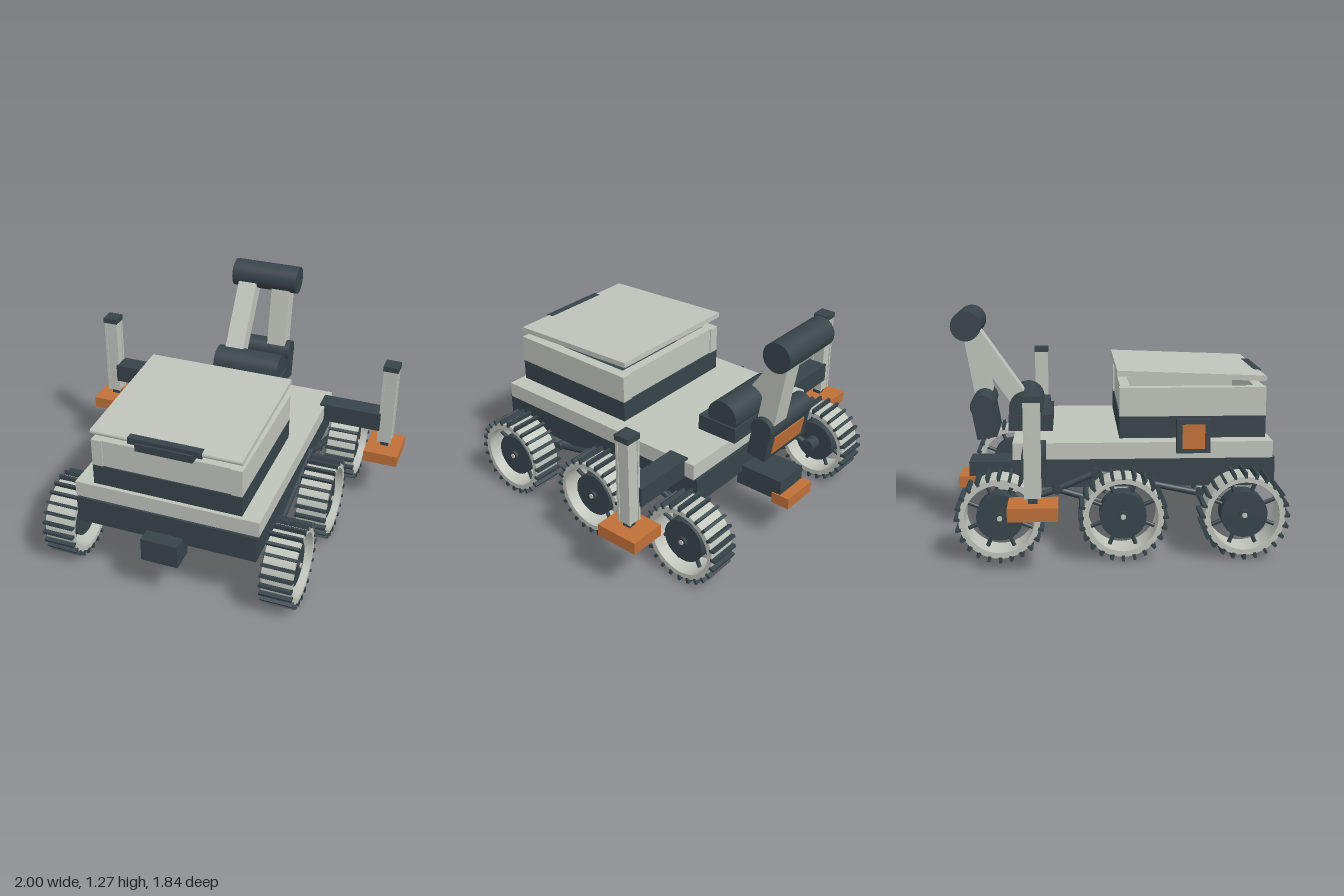
import * as THREE from 'three';

const mat = (name, color) => {
  const m = new THREE.MeshStandardMaterial({ color });
  m.name = name;
  return m;
};

export function createModel() {
  const model = new THREE.Group();
  model.name = 'sixWheeledRover';
  const light = mat('paleGrey', 0xbfc4bb);
  const dark = mat('darkSlate', 0x37444a);
  const orange = mat('copperOrange', 0xc07038);

  const add = (name, geo, material, parent = model) => {
    const m = new THREE.Mesh(geo, material);
    m.name = name;
    parent.add(m);
    return m;
  };
  // box given by its limits on each axis
  const box = (name, material, x0, x1, y0, y1, z0, z1, parent = model) => {
    const m = add(name, new THREE.BoxGeometry(x1 - x0, y1 - y0, z1 - z0), material, parent);
    m.position.set((x0 + x1) / 2, (y0 + y1) / 2, (z0 + z1) / 2);
    return m;
  };
  // cylinder lying along x
  const roller = (name, material, r, x0, x1, y, z, parent = model, sides = 32) => {
    const g = new THREE.CylinderGeometry(r, r, x1 - x0, sides).rotateZ(Math.PI / 2);
    const m = add(name, g, material, parent);
    m.position.set((x0 + x1) / 2, y, z);
    return m;
  };
  // bar between two [y, z] points; round when depth is not given
  const bar = (name, material, x, a, b, width, depth, parent = model) => {
    const from = new THREE.Vector3(x, a[0], a[1]);
    const dir = new THREE.Vector3(x, b[0], b[1]).sub(from);
    const len = dir.length();
    const g = depth ? new THREE.BoxGeometry(width, len, depth)
      : new THREE.CylinderGeometry(width / 2, width / 2, len, 14);
    const m = add(name, g, material, parent);
    m.position.copy(from).addScaledVector(dir, 0.5);
    m.rotation.x = Math.atan2(dir.z, dir.y);
    return m;
  };

  // body
  box('chassis', dark, -0.513, 0.513, 0.355, 0.51, -0.59, 0.837);
  box('deck', light, -0.522, 0.522, 0.51, 0.6, -0.575, 0.823);
  box('frontSensorBox', dark, -0.105, 0.105, 0.258, 0.395, 0.78, 0.92);
  box('rearHitchBox', dark, -0.105, 0.105, 0.27, 0.395, -0.85, -0.56);
  box('rearHitchPad', orange, -0.113, 0.113, 0.247, 0.312, -0.91, -0.8);

  // cargo box with hollow upper tray
  box('cargoBase', dark, -0.42, 0.42, 0.6, 0.72, 0, 0.8);
  for (const s of [-1, 1]) {
    const wall = box('cargoSideWall', light, -0.03, 0.03, 0.72, 0.877, 0, 0.8);
    wall.position.x = s * 0.39;
  }
  box('cargoFrontWall', light, -0.36, 0.36, 0.72, 0.877, 0.74, 0.793);
  box('cargoBackWall', light, -0.36, 0.36, 0.72, 0.877, 0.007, 0.06);

  // tilted lid, with its handle and latch
  bar('lid', light, 0, [0.925, 0.79], [0.957, -0.012], 0.84, 0.03);
  roller('lidFrontEdge', light, 0.016, -0.42, 0.42, 0.925, 0.788, model, 16);
  box('lidHandle', dark, -0.205, 0.205, 0.905, 0.942, 0.765, 0.807);
  box('lidLatch', dark, -0.16, 0.16, 0.877, 0.92, 0.765, 0.82);

  // side sensor
  const sensor = new THREE.Group();
  sensor.name = 'sideSensor';
  sensor.position.set(-0.528, 0.635, 0.39);
  sensor.rotation.z = -0.03;
  model.add(sensor);
  box('sensorHousing', dark, -0.028, 0.028, -0.09, 0.09, -0.09, 0.09, sensor);
  box('sensorWindow', orange, -0.034, -0.027, -0.065, 0.065, -0.06, 0.06, sensor);

  // manipulator arm
  box('armBase', dark, -0.215, 0.215, 0.6, 0.69, -0.612, -0.365);
  roller('shoulder', dark, 0.095, -0.205, 0.205, 0.725, -0.515);
  bar('upperArm', light, -0.105, [0.73, -0.525], [1.18, -0.835], 0.115, 0.1);
  roller('elbow', dark, 0.083, -0.205, 0.205, 1.19, -0.84);
  bar('forearm', light, 0.105, [1.19, -0.84], [0.74, -0.763], 0.115, 0.105);
  roller('wrist', dark, 0.066, -0.195, 0.195, 0.735, -0.762);
  const tool = new THREE.Group();
  tool.name = 'toolHead';
  tool.position.set(0, 0.735, -0.762);
  tool.rotation.x = -0.17;
  model.add(tool);
  box('toolHousing', dark, -0.195, 0.195, -0.182, 0, -0.06, 0.054, tool);
  box('toolPanel', orange, -0.14, 0.14, -0.15, -0.04, -0.066, -0.059, tool);

  // rear outriggers with masts and foot pads
  for (const s of [-1, 1]) {
    const rig = new THREE.Group();
    rig.name = s > 0 ? 'leftOutrigger' : 'rightOutrigger';
    rig.position.set(s * 0.897, 0, -0.455);
    model.add(rig);
    const beam = box('beam', dark, -0.185, 0.185, 0.5, 0.612, -0.058, 0.058, rig);
    beam.position.x = -s * 0.218;
    box('mastCore', light, -0.037, 0.037, 0.415, 0.905, -0.037, 0.037, rig);
    for (const i of [-1, 1]) for (const j of [-1, 1]) {
      const rail = box('mastRail', light, -0.007, 0.007, 0.415, 0.905, -0.007, 0.007, rig);
      rail.position.x = i * 0.035;
      rail.position.z = j * 0.035;
    }
    box('mastCap', dark, -0.045, 0.045, 0.9, 0.932, -0.045, 0.045, rig);
    box('footRod', dark, -0.023, 0.023, 0.37, 0.425, -0.023, 0.023, rig);
    box('footPad', orange, -0.102, 0.102, 0.315, 0.384, -0.125, 0.125, rig);
  }

  // open rim as a revolved rectangular section
  const rimPoints = [[0.183, -0.085], [0.213, -0.085], [0.213, 0.085], [0.183, 0.085], [0.183, -0.085]];
  const section = rimPoints.map(([r, h]) => new THREE.Vector2(r, h));
  const addRim = (parent) => {
    for (let i = 0; i < 4; i++) {
      const g = new THREE.LatheGeometry([section[i], section[i + 1]], 48).rotateZ(Math.PI / 2);
      add('rim', g, light, parent);
    }
  };

  // wheels
  const wheelY = 0.241;
  const wheelZ = [0.648, 0.008, -0.638];
  const cleats = 24;
  for (const s of [-1, 1]) {
    for (const z of wheelZ) {
      const wheel = new THREE.Group();
      wheel.name = 'wheel';
      wheel.position.set(s * 0.631, wheelY, z);
      wheel.rotation.y = s > 0 ? 0 : Math.PI;
      model.add(wheel);
      addRim(wheel);
      for (let i = 0; i < cleats; i++) {
        const a = (i / cleats) * Math.PI * 2;
        const cleat = add('cleat', new THREE.BoxGeometry(0.182, 0.03, 0.016), dark, wheel);
        cleat.position.set(0, Math.cos(a) * 0.222, Math.sin(a) * 0.222);
        cleat.rotation.x = a;
      }
      for (let i = 0; i < 8; i++) {
        const a = ((i + 0.5) / 8) * Math.PI * 2;
        const c = Math.cos(a), n = Math.sin(a);
        bar('spoke', dark, 0, [c * 0.1, n * 0.1], [c * 0.19, n * 0.19], 0.022, 0, wheel);
      }
      roller('hub', dark, 0.124, -0.055, 0.055, 0, 0, wheel);
      roller('axle', dark, 0.04, -0.13, -0.05, 0, 0, wheel, 20);
      roller('hubCap', dark, 0.03, 0.05, 0.068, 0, 0, wheel, 20);
      roller('hubPin', light, 0.014, 0.06, 0.074, 0, 0, wheel, 16);
    }

    // rocker suspension
    const x = s * 0.517;
    const pivot = [0.435, -0.13], bogie = [0.345, -0.34];
    const links = [
      [[wheelY, wheelZ[0]], [0.315, 0.43]], [[0.315, 0.43], pivot], [pivot, bogie],
      [bogie, [wheelY, wheelZ[1]]], [bogie, [wheelY, wheelZ[2]]],
    ];
    for (const [a, b] of links) bar('suspensionLink', dark, x, a, b, 0.036);
    for (const [y, z] of [pivot, bogie, [0.315, 0.43]]) {
      roller('suspensionJoint', dark, 0.026, x - 0.02, x + 0.02, y, z, model, 20);
    }
  }
  return model;
}
